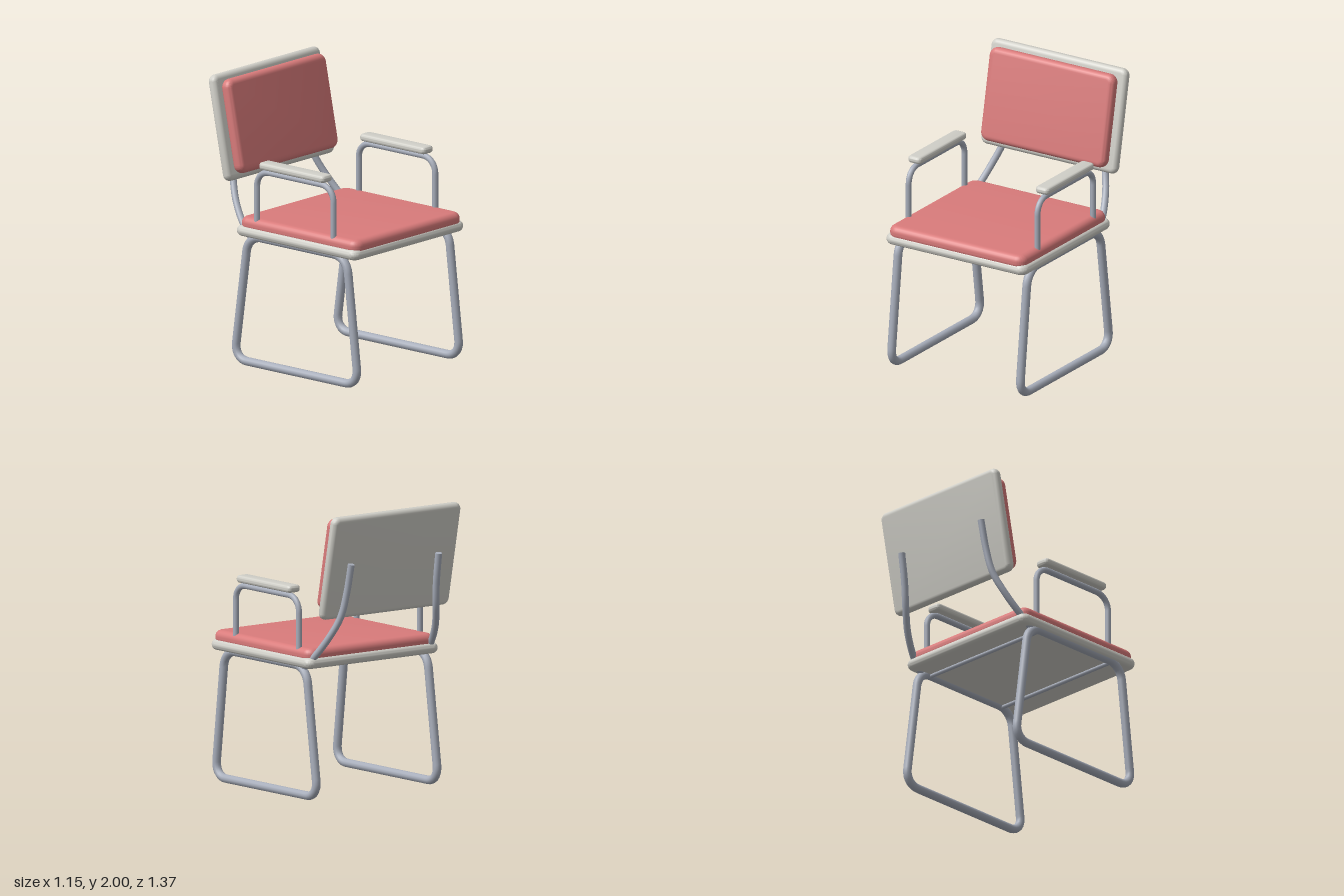
import * as THREE from 'three';
import { toCreasedNormals } from 'three/addons/utils/BufferGeometryUtils.js';

const V = (x, y, z) => new THREE.Vector3(x, y, z);

// Padded slab: rounded rectangle in XY, thickness along z, soft edges, centred.
function slab(w, h, t, corner, bevel) {
  const x = w / 2 - bevel, y = h / 2 - bevel, r = corner - bevel;
  const s = new THREE.Shape();
  s.moveTo(-x + r, -y);
  s.lineTo(x - r, -y);
  s.absarc(x - r, -y + r, r, -Math.PI / 2, 0);
  s.absarc(x - r, y - r, r, 0, Math.PI / 2);
  s.absarc(-x + r, y - r, r, Math.PI / 2, Math.PI);
  s.absarc(-x + r, -y + r, r, Math.PI, Math.PI * 1.5);
  const geo = new THREE.ExtrudeGeometry(s, {
    depth: Math.max(t - 2 * bevel, 0.002), bevelThickness: bevel, bevelSize: bevel, bevelSegments: 6, curveSegments: 8,
  });
  geo.center();
  return toCreasedNormals(geo, 0.7);
}

// Path through points [z, y] at a fixed x, with every inner corner rounded off.
function bentPath(x, pts, cut, closed) {
  const path = new THREE.CurvePath();
  const p = pts.map(([z, y]) => V(x, y, z));
  const n = p.length;
  const toward = (a, b) => a.clone().add(b.clone().sub(a).setLength(cut));
  let last = closed ? toward(p[0], p[1]) : p[0];
  for (let k = 1; k <= (closed ? n : n - 2); k++) {
    const c = p[k % n], a = toward(c, p[k - 1]), b = toward(c, p[(k + 1) % n]);
    path.add(new THREE.LineCurve3(last, a));
    // control points close to the corner give a nearly circular bend
    path.add(new THREE.CubicBezierCurve3(a, a.clone().lerp(c, 0.58), b.clone().lerp(c, 0.58), b));
    last = b;
  }
  if (!closed) path.add(new THREE.LineCurve3(last, p[n - 1]));
  return path;
}

export function createModel() {
  const chair = new THREE.Group();
  chair.name = 'armchair';
  const material = (name, color) => {
    const m = new THREE.MeshStandardMaterial({ color });
    m.name = name;
    return m;
  };
  const upholstery = material('red upholstery', 0xd97b7b);
  const trim = material('pale trim', 0xd0cfc8);
  const metal = material('grey metal', 0xa8aebb);

  const add = (parent, name, geo, mat, x = 0, y = 0, z = 0) => {
    const m = new THREE.Mesh(geo, mat);
    m.name = name;
    m.position.set(x, y, z);
    parent.add(m);
    return m;
  };

  // Seat
  const seat = new THREE.Group();
  seat.name = 'seat';
  chair.add(seat);
  add(seat, 'seatBase', slab(1.15, 1.11, 0.074, 0.06, 0.036).rotateX(-Math.PI / 2), trim, 0, 0.95, 0.135);
  add(seat, 'seatCushion', slab(1.11, 1.08, 0.1, 0.07, 0.045).rotateX(-Math.PI / 2), upholstery, 0, 1.0, 0.142);

  // Leaning backrest
  const back = new THREE.Group();
  back.name = 'backrest';
  back.position.set(0, 1.632, -0.58);
  back.rotation.x = -0.2;
  chair.add(back);
  add(back, 'backBoard', slab(1.11, 0.74, 0.07, 0.05, 0.034), trim);
  add(back, 'backCushion', slab(1.02, 0.655, 0.086, 0.06, 0.038), upholstery, 0, 0, 0.078);

  // Crossbars under the seat
  for (const z of [0.47, -0.23]) {
    add(chair, 'crossbar', new THREE.CylinderGeometry(0.015, 0.015, 1.05, 10).rotateZ(Math.PI / 2), metal, 0, 0.905, z);
  }

  for (const side of [1, -1]) {
    const x = 0.525 * side;

    // Sled leg: one closed loop of tube
    const leg = bentPath(x, [[0.12, 0.03], [0.673, 0.03], [0.568, 0.92], [-0.328, 0.92], [-0.453, 0.03]], 0.115, true);
    // the first point lies on the straight floor rail, so its bend stays flat
    add(chair, 'sledLeg', new THREE.TubeGeometry(leg, 140, 0.03, 12, true), metal);

    // Armrest: hoop of tube with a pad on top
    const arm = new THREE.Group();
    arm.name = 'armrest';
    chair.add(arm);
    const hoop = bentPath(x, [[0.448, 0.97], [0.448, 1.392], [-0.248, 1.392], [-0.248, 0.97]], 0.11, false);
    add(arm, 'armTube', new THREE.TubeGeometry(hoop, 70, 0.021, 10), metal);
    add(arm, 'armPad', slab(0.108, 0.596, 0.05, 0.03, 0.02).rotateX(-Math.PI / 2), trim, 0.52 * side, 1.44, 0.098);

    // Back support: curves up and inward from under the seat
    const stem = new THREE.CatmullRomCurve3([
      V(0.525 * side, 0.91, -0.3), V(0.51 * side, 0.985, -0.385), V(0.465 * side, 1.13, -0.495),
      V(0.415 * side, 1.28, -0.565), V(0.39 * side, 1.45, -0.602), V(0.38 * side, 1.655, -0.64),
    ]);
    add(chair, 'backSupport', new THREE.TubeGeometry(stem, 40, 0.024, 12), metal);
    const cap = add(chair, 'backSupportCap', new THREE.CircleGeometry(0.024, 12), metal);
    cap.position.copy(stem.getPoint(1));
    cap.lookAt(stem.getPoint(1).add(stem.getTangent(1)));
  }

  return chair;
}
